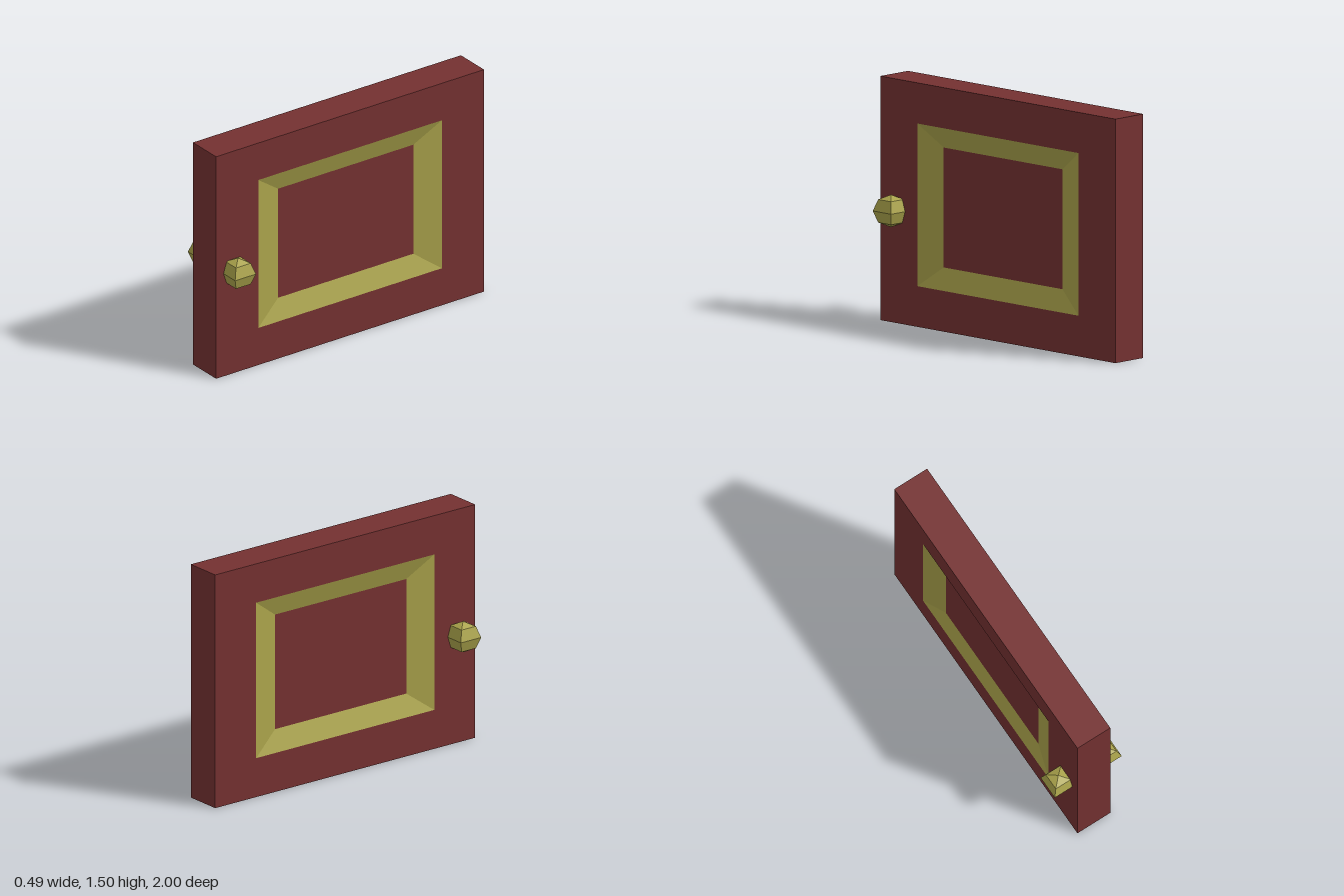
import * as THREE from 'three';

const red = new THREE.MeshStandardMaterial({ color: 0x743131, flatShading: true });
const gold = new THREE.MeshStandardMaterial({ color: 0xaaa34b, flatShading: true });

// Rectangle loop in the plane x, anticlockwise as seen from +x
const rect = (x, hz, y0, y1) => [[x, y0, hz], [x, y0, -hz], [x, y1, -hz], [x, y1, hz]];

// Two triangles for one quad, optionally turned over
function quad(out, a, b, c, d, flip) {
  const order = flip ? [a, c, b, a, d, c] : [a, b, c, a, c, d];
  order.forEach((p) => out.push(...p));
}

// Band of quads joining two loops
function band(out, from, to, flip = false) {
  for (let i = 0; i < 4; i++) {
    const j = (i + 1) % 4;
    quad(out, from[i], from[j], to[j], to[i], flip);
  }
}

function addMesh(group, positions, material, name) {
  const geometry = new THREE.BufferGeometry();
  geometry.setAttribute('position', new THREE.Float32BufferAttribute(positions, 3));
  geometry.computeVertexNormals();
  const mesh = new THREE.Mesh(geometry, material);
  mesh.name = name;
  group.add(mesh);
}

export function createModel() {
  const model = new THREE.Group();
  model.name = 'door';

  const centre = 0.004, half = 0.119, recess = 0.045;
  const edge = (x) => rect(x, 1, 0, 1.5);

  // Outer edges of the slab
  const slab = [];
  band(slab, edge(centre - half), edge(centre + half));

  for (const s of [1, -1]) {
    const flip = s < 0;
    const face = centre + s * half;
    const opening = rect(face, 0.685, 0.25, 1.25);
    const panel = rect(face - s * recess, 0.505, 0.383, 1.12);

    // Face around the opening and the sunken panel
    band(slab, edge(face), opening, flip);
    quad(slab, ...panel, flip);

    // Sloped trim leading down to the panel
    const trim = [];
    band(trim, opening, panel, flip);
    addMesh(model, trim, gold, s > 0 ? 'leftTrim' : 'rightTrim');

    // Faceted knob with its flat sides square to the door
    const knobGeometry = new THREE.SphereGeometry(0.1, 4, 4);
    knobGeometry.rotateY(Math.PI / 4);
    knobGeometry.scale(1.1, 1, 1.1);
    const knob = new THREE.Mesh(knobGeometry, gold);
    knob.name = s > 0 ? 'leftKnob' : 'rightKnob';
    knob.position.set(s * 0.165, 0.694, 0.867);
    model.add(knob);
  }

  addMesh(model, slab, red, 'doorSlab');
  return model;
}
